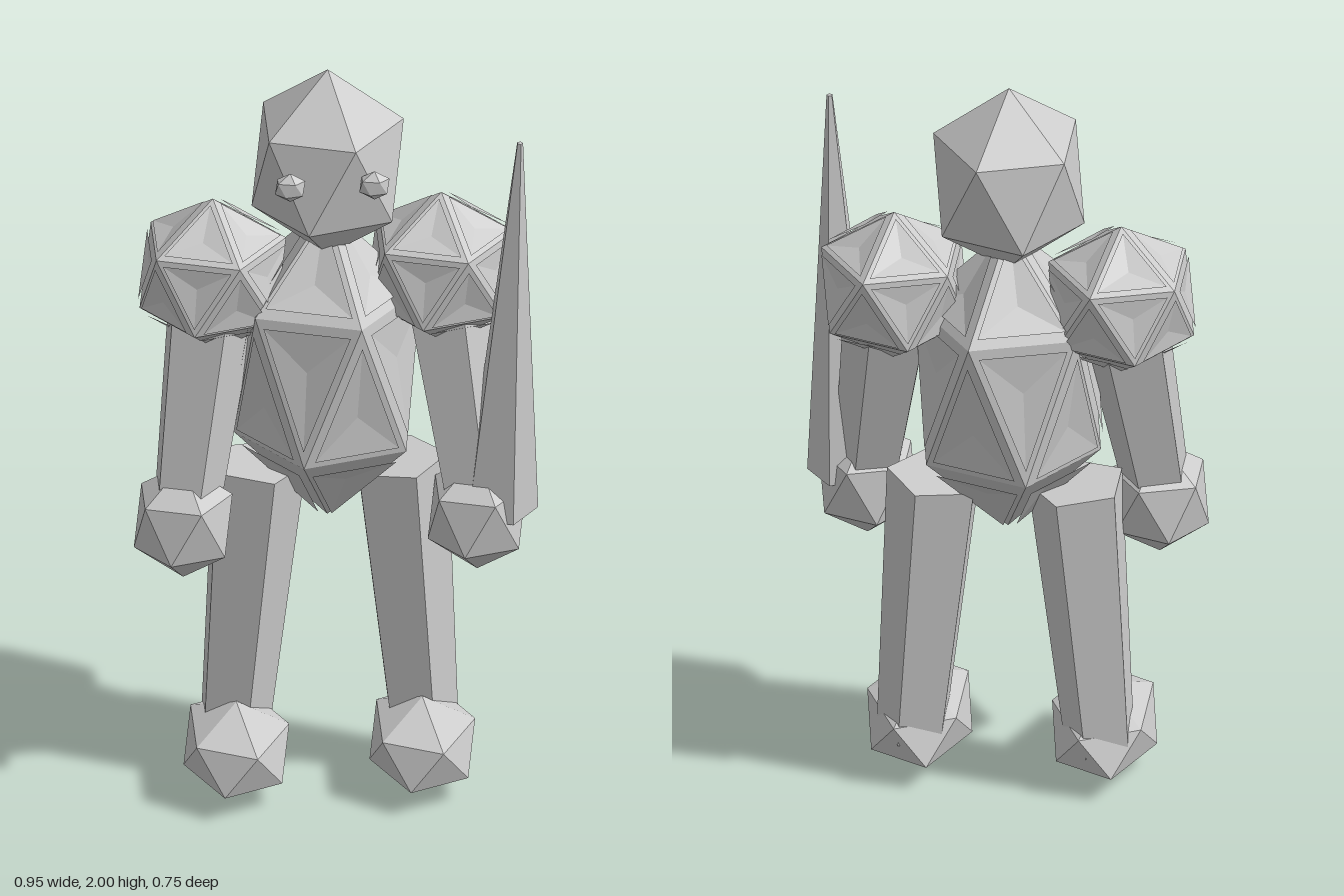
import * as THREE from 'three';

const mat = new THREE.MeshStandardMaterial({ color: 0xcccccc, flatShading: true });
const V = (x, y, z) => new THREE.Vector3(x, y, z);

// The 20 faces of a unit icosahedron standing on one corner, upper ring starting at +x
function icoFaces() {
  const ring = (y, shift) => [0, 1, 2, 3, 4].map((i) => {
    const a = ((i + shift) * Math.PI * 2) / 5;
    return V(0.8944 * Math.cos(a), y, 0.8944 * Math.sin(a));
  });
  const top = V(0, 1, 0), bottom = V(0, -1, 0);
  const up = ring(0.4472, 0), low = ring(-0.4472, 0.5);
  const faces = [];
  for (let i = 0; i < 5; i++) {
    const j = (i + 1) % 5;
    faces.push([top, up[j], up[i]], [up[i], up[j], low[i]], [low[i], up[j], low[j]], [bottom, low[i], low[j]]);
  }
  return faces;
}

// A thin floating plate with a slightly dented middle over one face
function plate([a, b, c]) {
  const mid = V(0, 0, 0).add(a).add(b).add(c).divideScalar(3);
  const normal = mid.clone().normalize();
  const rim = [a, b, c].map((p) => p.clone().lerp(mid, 0.18).addScaledVector(normal, 0.04));
  const dent = mid.clone().addScaledVector(normal, 0.005);
  return [0, 1, 2].map((i) => [rim[i], rim[(i + 1) % 3], dent]);
}

function fromTriangles(tris) {
  const geo = new THREE.BufferGeometry().setFromPoints(tris.flat());
  geo.computeVertexNormals();
  return geo;
}

const plainIco = fromTriangles(icoFaces());
const platedIco = fromTriangles([...icoFaces(), ...icoFaces().flatMap(plate)]);

function add(parent, name, geo, position, scale) {
  const mesh = new THREE.Mesh(geo, mat);
  mesh.name = name;
  mesh.position.copy(position);
  if (scale) mesh.scale.copy(scale);
  parent.add(mesh);
  return mesh;
}

// Five-sided tapered limb between two points, one flat side to the front
function limb(parent, name, from, to, rFrom, rTo) {
  const dir = to.clone().sub(from);
  const geo = new THREE.CylinderGeometry(rTo, rFrom, dir.length(), 5);
  geo.rotateY(Math.PI / 2);
  const mesh = add(parent, name, geo, from.clone().add(to).multiplyScalar(0.5));
  mesh.quaternion.setFromUnitVectors(V(0, 1, 0), dir.normalize());
}

export function createModel() {
  const model = new THREE.Group();
  model.name = 'armouredFigure';

  // The figure stands turned towards its right
  const figure = new THREE.Group();
  figure.name = 'figure';
  figure.position.set(0.02, 0, -0.02);
  figure.rotation.y = -Math.PI / 6;
  model.add(figure);

  add(figure, 'head', plainIco, V(0, 1.737, 0), V(0.216, 0.263, 0.218));
  add(figure, 'torso', platedIco, V(0, 1.165, -0.015), V(0.265, 0.435, 0.26));

  for (const [side, s] of [['left', 1], ['right', -1]]) {
    const shoulder = V(s * 0.29, 1.42, -0.024);
    const hand = V(s * 0.373, 0.78, 0.097);
    add(figure, side + 'Eye', plainIco, V(s * 0.107, 1.76, 0.183), V(0.043, 0.04, 0.028));
    add(figure, side + 'Shoulder', platedIco, shoulder, V(0.208, 0.21, 0.208));
    limb(figure, side + 'Arm', hand, shoulder, 0.088, 0.125);
    add(figure, side + 'Hand', plainIco, hand, V(0.14, 0.16, 0.14));
    limb(figure, side + 'Leg', V(s * 0.24, 0.12, -0.028), V(s * 0.18, 0.875, -0.03), 0.094, 0.128);
    add(figure, side + 'Foot', plainIco, V(s * 0.236, 0.125, 0.067), V(0.15, 0.12, 0.232));
  }

  // Long spike held in the left hand
  limb(figure, 'spike', V(0.428, 0.795, 0.1), V(0.478, 1.855, 0.157), 0.1, 0.008);

  return model;
}
